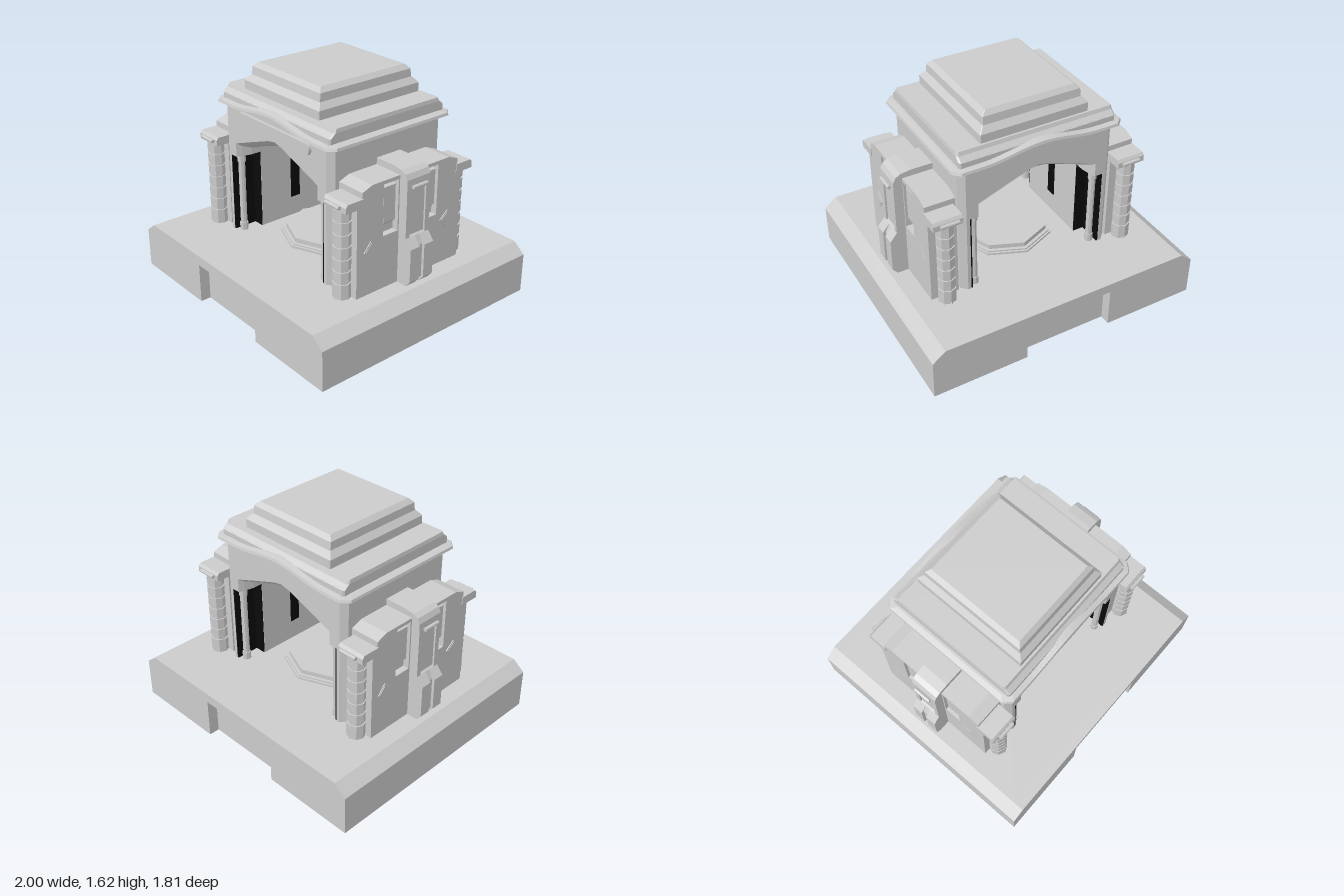
import * as THREE from 'three';

const stone = new THREE.MeshStandardMaterial({ color: 0xcccccc, flatShading: true });
const dark = new THREE.MeshStandardMaterial({ color: 0x0a0a0a, flatShading: true });

// Right-handed frames: u, v span the cross-section, w runs along the named axis
const frames = {
  x: (u, v, w) => [w, u, v],
  y: (u, v, w) => [u, w, -v],
  z: (u, v, w) => [u, v, w],
};

// Capped skin over counter-clockwise cross-sections [u, v, w]
function loft(axis, rings) {
  const n = rings[0].length, pos = [], index = [];
  rings.forEach(r => r.forEach(p => pos.push(...frames[axis](...p))));
  for (let k = 0; k < rings.length - 1; k++)
    for (let i = 0; i < n; i++) {
      const a = k * n + i, b = k * n + (i + 1) % n;
      index.push(a, b, b + n, a, b + n, a + n);
    }
  const cap = r => THREE.ShapeUtils.triangulateShape(r.map(p => new THREE.Vector2(p[0], p[1])), []);
  cap(rings[0]).forEach(([a, b, c]) => index.push(a, c, b));
  const o = (rings.length - 1) * n;
  cap(rings[rings.length - 1]).forEach(([a, b, c]) => index.push(o + a, o + b, o + c));
  const g = new THREE.BufferGeometry();
  g.setAttribute('position', new THREE.Float32BufferAttribute(pos, 3));
  g.setIndex(index);
  g.computeVertexNormals();
  return g;
}
const prism = (axis, poly, w0, w1) => loft(axis, [w0, w1].map(w => poly.map(([u, v]) => [u, v, w])));

function add(parent, name, geometry, x = 0, y = 0, z = 0, material = stone) {
  const m = new THREE.Mesh(geometry, material);
  m.name = name;
  m.position.set(x, y, z);
  parent.add(m);
  return m;
}
// Box from its limits
const block = (parent, name, x0, x1, y0, y1, z0, z1, material) =>
  add(parent, name, new THREE.BoxGeometry(x1 - x0, y1 - y0, z1 - z0),
    (x0 + x1) / 2, (y0 + y1) / 2, (z0 + z1) / 2, material);
const drum = (parent, name, r, y0, y1, x, z) =>
  add(parent, name, new THREE.CylinderGeometry(r, r, y1 - y0, 8), x, (y0 + y1) / 2, z);

// Rectangle with cut corners, long edges divided and lifted by rise(x)
function rectRing(hx, hz, c, y, steps = 1, rise = () => 0) {
  const ring = [];
  for (const s of [-1, 1]) {
    for (let i = 0; i <= steps; i++) {
      const u = s * (hx - c) * (1 - 2 * i / steps);
      ring.push([u, s * hz, y + rise(u)]);
    }
    ring.push([-s * hx, s * (hz - c), y], [-s * hx, -s * (hz - c), y]);
  }
  return ring;
}

function addBase(g) {
  const top = [[1, 0], [1, 0.285], [0.91, 0.355], [-0.91, 0.355], [-1, 0.285], [-1, 0]];
  const notched = [...top, [-0.32, 0], [-0.32, 0.285], [0.32, 0.285], [0.32, 0]];
  add(g, 'base', prism('z', top, -0.83, 0.83));
  add(g, 'baseFront', prism('z', notched, 0.83, 0.905));
  add(g, 'baseBack', prism('z', notched, -0.905, -0.83));
  // Stepped octagonal platform
  drum(g, 'platformFoot', 0.345, 0.355, 0.368, 0, 0);
  drum(g, 'platformRim', 0.36, 0.368, 0.382, 0, 0);
  drum(g, 'platformStep', 0.345, 0.382, 0.392, 0, 0);
  drum(g, 'platformTop', 0.32, 0.392, 0.425, 0, 0);
}

function addHall(g) {
  // Upper hall with a vault that flares towards both ends
  const section = (z, hx, t) => {
    const mix = (a, b) => a + (b - a) * t;
    const half = [[hx, 0.93], [hx, 1.38]];
    const arch = [[mix(0.41, 0.44), 0.93], [mix(0.41, 0.44), mix(0.98, 1.03)],
      [mix(0.24, 0.25), mix(1.045, 1.1)], [0.07, mix(1.1, 1.165)]];
    const flip = p => [-p[0], p[1]];
    return [...half, ...half.map(flip).reverse(), ...arch.map(flip),
      [0, mix(1.1, 1.18)], ...arch.reverse()].map(([x, y]) => [x, y, z]);
  };
  const ends = [[0.48, 0.525, 1], [0.44, 0.565, 0.5], [0.37, 0.565, 0]];
  add(g, 'vaultedHall', loft('z', [
    ...ends.map(([z, hx, t]) => section(-z, hx, t)),
    ...ends.map(([z, hx, t]) => section(z, hx, t)).reverse()]));

  // Cornice, arched over the front and back
  const rise = x => Math.abs(x) < 0.42 ? 0.024 * (1 + Math.cos(Math.PI * x / 0.42)) : 0;
  const cornice = [[-0.02, 1.295], [0.03, 1.3], [0.06, 1.312], [0.055, 1.33], [0.02, 1.338], [-0.02, 1.34]];
  add(g, 'cornice', loft('y', cornice.map(([o, y]) => rectRing(0.56 + o, 0.465 + o, 0.05, y, 24, rise))));
  // Stepped roof
  add(g, 'roofSlab', loft('y', [[0.565, 0.485, 1.32], [0.565, 0.485, 1.375], [0.565, 0.45, 1.405], [0.56, 0.44, 1.43]]
    .map(([x, z, y]) => rectRing(x, z, 0.012, y))));
  add(g, 'roofCrown', loft('y', [[0.39, 0.425, 1.42], [0.39, 0.425, 1.49], [0.355, 0.39, 1.53],
    [0.352, 0.383, 1.585], [0.32, 0.355, 1.615]].map(([x, z, y]) => rectRing(x, z, 0.004, y))));

  // Rounded blank plaque on the front
  const s = new THREE.Shape();
  s.absarc(0.342, 1.247, 0.042, -Math.PI / 2, Math.PI / 2);
  s.absarc(-0.342, 1.247, 0.042, Math.PI / 2, Math.PI * 1.5);
  add(g, 'plaque', new THREE.ExtrudeGeometry(s, { depth: 0.04, bevelEnabled: false, curveSegments: 8 }), 0, 0, 0.462);
}

function createSide() {
  const g = new THREE.Group();
  // Hall wall with a niche at each end (plan in x, -z)
  const end = [[0.565, 0.44], [0.525, 0.48], [0.5, 0.48], [0.5, 0.3], [0.41, 0.3]];
  add(g, 'hallWall', prism('y', [...end, ...end.map(([x, z]) => [x, -z]).reverse()], 0.35, 0.94));
  block(g, 'wallSlot', 0.408, 0.412, 0.5, 0.84, -0.04, 0.04, dark);

  // Wing core and its pierced outer face
  const toPath = (Kind, pts) => new Kind(pts.map(p => new THREE.Vector2(...p)));
  const outline = [[-0.41, 0.35], [0.41, 0.35], [0.41, 1.08], [0.33, 1.11], [-0.33, 1.11], [-0.41, 1.08]];
  const face = toPath(THREE.Shape, outline);
  for (const s of [-1, 1]) {
    const a = 0.11 * s, b = 0.235 * s;
    face.holes.push(toPath(THREE.Path, [[a, 0.73], [b, 0.73], [b, 1.085], [a, 1.085]]));
  }
  const wing = (name, x0, x1, shape) => add(g, name,
    new THREE.ExtrudeGeometry(shape, { depth: x1 - x0, bevelEnabled: false }).rotateY(Math.PI / 2), x0);
  wing('wingCore', 0.54, 0.735, toPath(THREE.Shape, outline));
  wing('wingFace', 0.735, 0.78, face);

  // Buttress in slabs, leaving a sunken panel and a slit
  const buttress = (z0, z1, upper, lower) => add(g, 'buttress', prism('z', [
    [0.55, 0.355], [lower - 0.035, 0.355], [lower, 0.395], [lower, 0.63], [0.845, 0.69], [upper, 0.7],
    [upper, 1.03], [0.845, 1.035], [0.843, 1.09], [0.825, 1.125], [0.79, 1.145], [0.72, 1.155], [0.55, 1.155]], z0, z1));
  buttress(-0.02, 0.02, 0.832, 0.875);

  for (const s of [-1, 1]) {
    const span = (a, b) => s > 0 ? [a, b] : [-b, -a];
    block(g, 'nicheBack', 0.49, 0.502, 0.356, 0.93, ...span(0.3, 0.478), dark);
    block(g, 'nicheEnd', 0.412, 0.5, 0.356, 0.93, ...span(0.298, 0.306), dark);
    // Slim column inside the archway
    drum(g, 'archColumn', 0.024, 0.355, 0.93, 0.455, 0.43 * s);
    drum(g, 'archColumnFoot', 0.03, 0.355, 0.41, 0.455, 0.43 * s);
    drum(g, 'archColumnCap', 0.03, 0.88, 0.93, 0.455, 0.43 * s);

    buttress(...span(0.02, 0.065), 0.832, 0.895);
    buttress(...span(0.065, 0.1), 0.845, 0.895);
    // Window slab with a sloped underside
    add(g, 'windowSlab', prism('z', [[0.73, 0.775], [0.768, 0.81], [0.768, 1.055], [0.73, 1.07]], ...span(0.125, 0.222)));
    // Diamond ornament
    for (const [name, size, x] of [['diamondFrame', 0.09, 0.78], ['diamond', 0.072, 0.783]])
      add(g, name, new THREE.BoxGeometry(0.012, size, size), x, 0.67, 0.33 * s).rotation.x = s * 0.9;

    // End bay: backing wall, lintel and segmented column
    block(g, 'bayWall', 0.58, 0.78, 0.355, 0.99, ...span(0.4, 0.45));
    const lintel = [[0.98, 0.4], [1.04, 0.4], [1.04, 0.53], [1.02, 0.545], [0.98, 0.545]]
      .map(([y, z]) => [y, z * s]);
    add(g, 'lintel', prism('x', s > 0 ? lintel : lintel.reverse(), 0.58, 0.785));
    drum(g, 'bayColumnCore', 0.054, 0.355, 0.99, 0.683, 0.485 * s);
    for (let i = 0; i < 6; i++) {
      const y = 0.475 + i * 0.086;
      drum(g, 'bayColumnSegment', 0.062, y, y + 0.072, 0.683, 0.485 * s);
    }
    drum(g, 'bayColumnFoot', 0.063, 0.355, 0.46, 0.683, 0.485 * s);
    add(g, 'bayColumnSpike', new THREE.ConeGeometry(0.05, 0.13, 4), 0.683, 0.42, 0.505 * s);
    add(g, 'lintelRod', new THREE.CylinderGeometry(0.013, 0.013, 0.13, 8), 0.675, 1.01, 0.557 * s)
      .rotation.z = Math.PI / 2;
  }
  add(g, 'buttressRod', new THREE.CylinderGeometry(0.013, 0.013, 0.125, 8), 0.857, 1.04, 0)
    .rotation.x = Math.PI / 2;
  return g;
}

export function createModel() {
  const g = new THREE.Group();
  g.name = 'gatehouse';
  addBase(g);
  addHall(g);
  ['leftSide', 'rightSide'].forEach((name, i) => {
    const side = createSide();
    side.name = name;
    side.rotation.y = i * Math.PI;
    g.add(side);
  });
  return g;
}
